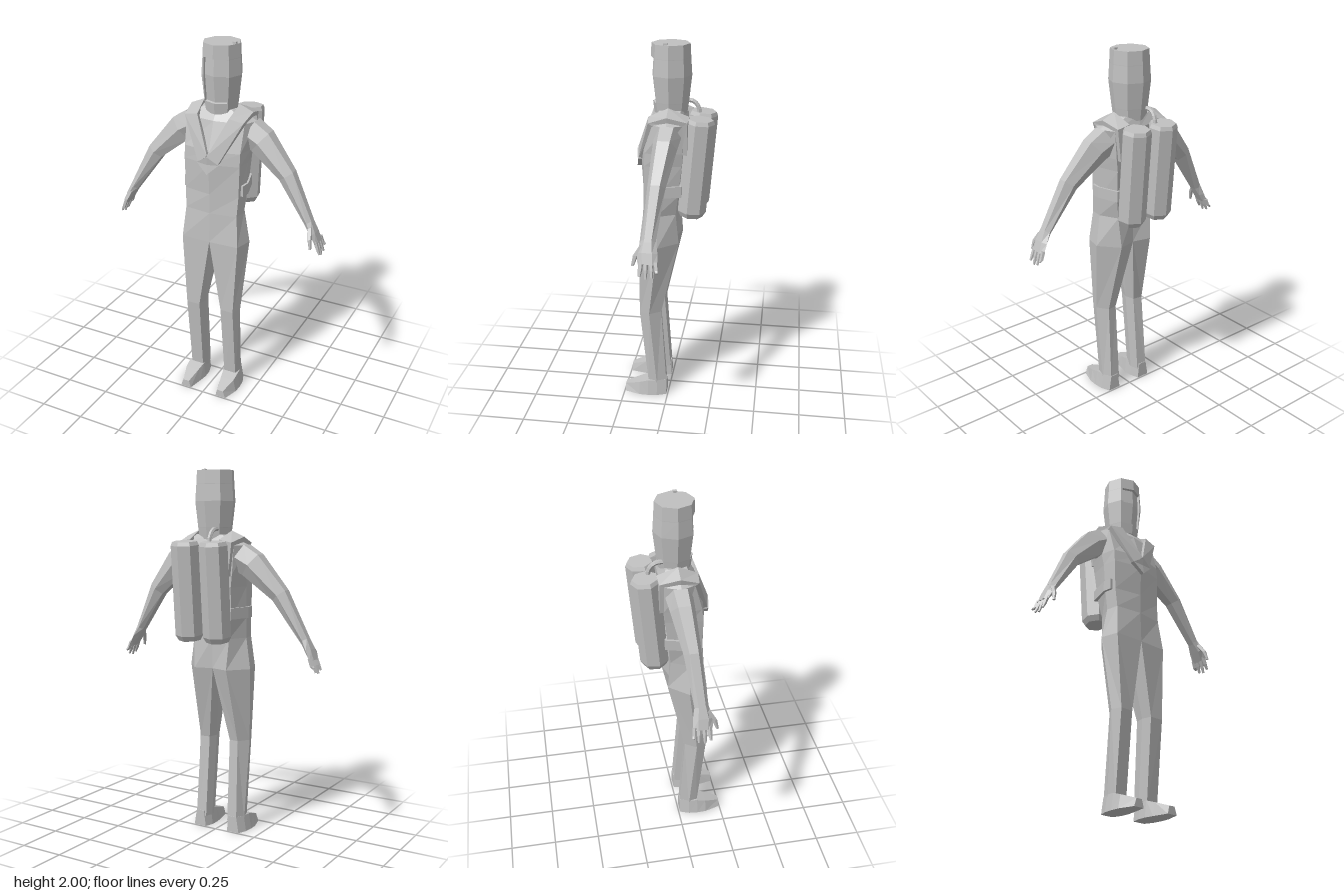
import * as THREE from 'three';

const grey = new THREE.MeshStandardMaterial({ color: 0xc0c0c0 });
grey.name = 'grey';

// Flat-faced solid through closed rings of [x, y, z] points, capped at both ends
function loft(rings) {
  const pos = [];
  const tri = (a, b, c) => pos.push(...a, ...b, ...c);
  const n = rings[0].length;
  for (let r = 0; r + 1 < rings.length; r++) {
    for (let i = 0; i < n; i++) {
      const j = (i + 1) % n, A = rings[r], B = rings[r + 1];
      tri(A[i], A[j], B[j]);
      tri(A[i], B[j], B[i]);
    }
  }
  const cap = (ring, flip) => {
    const c = [0, 1, 2].map((k) => ring.reduce((s, p) => s + p[k], 0) / n);
    ring.forEach((p, i) => {
      const q = ring[(i + 1) % n];
      if (flip) tri(c, q, p); else tri(c, p, q);
    });
  };
  cap(rings[0], true);
  cap(rings[rings.length - 1], false);
  // turn the corners round if the solid came out inside-out
  let volume = 0;
  const v = (i) => new THREE.Vector3().fromArray(pos, i);
  for (let i = 0; i < pos.length; i += 9) volume += v(i).dot(v(i + 3).cross(v(i + 6)));
  if (volume < 0) {
    for (let i = 0; i < pos.length; i += 9) {
      for (let k = 0; k < 3; k++) [pos[i + 3 + k], pos[i + 6 + k]] = [pos[i + 6 + k], pos[i + 3 + k]];
    }
  }
  const g = new THREE.BufferGeometry();
  g.setAttribute('position', new THREE.Float32BufferAttribute(pos, 3));
  g.computeVertexNormals();
  return g;
}

// Rings round a path of [x, y, z, radius in the xy plane, radius in z]
function limb(path, sides) {
  return loft(path.map(([x, y, z, rv, rz], i) => {
    const a = path[Math.max(i - 1, 0)], b = path[Math.min(i + 1, path.length - 1)];
    const len = Math.hypot(b[0] - a[0], b[1] - a[1]);
    const nx = -(b[1] - a[1]) / len, ny = (b[0] - a[0]) / len;
    return Array.from({ length: sides }, (_, k) => {
      const t = ((k + 0.5) / sides) * Math.PI * 2;
      return [x + nx * Math.cos(t) * rv, y + ny * Math.cos(t) * rv, z + Math.sin(t) * rz];
    });
  }));
}

// Full ring from its left half, running front to back
function mirrorRing(y, half) {
  const left = half.map(([x, z]) => [x, y, z]);
  const right = half.slice(1, -1).reverse().map(([x, z]) => [-x, y, z]);
  return [...left, ...right];
}

export function createModel() {
  const model = new THREE.Group();
  model.name = 'diver';
  const add = (name, geometry, parent = model) => {
    const mesh = new THREE.Mesh(geometry, grey);
    mesh.name = name;
    parent.add(mesh);
    return mesh;
  };

  // Torso
  add('torso', loft([
    mirrorRing(0.93, [[0, 0.155], [0.165, 0.15], [0.19, 0.05], [0.1, -0.055], [0, -0.03]]),
    mirrorRing(1.1, [[0, 0.15], [0.15, 0.13], [0.16, 0.06], [0.11, -0.04], [0, -0.03]]),
    mirrorRing(1.21, [[0, 0.15], [0.155, 0.12], [0.165, 0.05], [0.13, -0.055], [0, -0.04]]),
    mirrorRing(1.38, [[0, 0.16], [0.16, 0.12], [0.17, 0.04], [0.14, -0.075], [0, -0.07]]),
    mirrorRing(1.45, [[0, 0.153], [0.16, 0.115], [0.178, 0.03], [0.15, -0.08], [0, -0.08]]),
    mirrorRing(1.6, [[0, 0.1], [0.165, 0.075], [0.2, 0], [0.16, -0.08], [0, -0.09]]),
    mirrorRing(1.655, [[0, 0.06], [0.08, 0.05], [0.1, 0], [0.08, -0.06], [0, -0.07]]),
  ]));

  // Waist belt round the sides and back
  const belt = (y) => [[0.172, 0.1], [0.178, 0.05], [0.142, -0.075], [-0.142, -0.075], [-0.178, 0.05], [-0.172, 0.1],
    [-0.15, 0.1], [-0.15, 0.04], [-0.12, -0.04], [0.12, -0.04], [0.15, 0.04], [0.15, 0.1]].map(([x, z]) => [x, y, z]);
  add('waistBelt', loft([belt(1.21), belt(1.27)]));
  add('tankBracket', new THREE.BoxGeometry(0.2, 0.07, 0.05)).position.set(0, 1.24, -0.07);

  // Eight-sided helmet with a sunken window in its two front faces
  const helmetRing = (y, r, sink) => {
    const c = r * Math.SQRT1_2, slope = (r - c) / c;
    const rim = Math.min(0.064, c - 0.004), inner = rim - 0.003;
    return mirrorRing(y, [[0, r - sink], [inner, r - inner * slope - sink], [rim, r - rim * slope],
      [c, c], [r, 0], [c, -c], [0, -r]]);
  };
  add('helmet', loft([[1.63, 0.086, 0], [1.69, 0.094, 0], [1.693, 0.0945, 0.014], [1.83, 0.11, 0.014],
    [1.917, 0.104, 0.014], [1.92, 0.104, 0], [1.99, 0.1, 0]].map((s) => helmetRing(...s))));
  add('helmetValve', new THREE.BoxGeometry(0.018, 0.02, 0.018)).position.set(0.08, 1.99, 0.018);

  for (const s of [1, -1]) {
    const side = new THREE.Group();
    side.name = s > 0 ? 'leftSide' : 'rightSide';
    model.add(side);
    const flip = (ring) => ring.map(([x, y, z]) => [s * x, y, z]);
    const bone = (path, sides) => limb(path.map(([x, ...rest]) => [s * x, ...rest]), sides);

    // Leg: outer, front, inner and back corners at hip, knee and ankle
    const legRing = (y, pts) => flip(pts.map(([x, z]) => [x, y, z]));
    add('leg', loft([
      legRing(0.93, [[0.19, 0.05], [0.165, 0.15], [0, 0.155], [0, 0.05], [0, -0.03], [0.1, -0.055]]),
      legRing(0.52, [[0.162, 0.1], [0.142, 0.155], [0.066, 0.152], [0.052, 0.1], [0.066, 0.045], [0.12, 0.038]]),
      legRing(0.06, [[0.152, 0.06], [0.14, 0.108], [0.07, 0.108], [0.058, 0.06], [0.07, 0.012], [0.13, 0.008]]),
    ]), side);

    // Foot
    const footRing = (z, x0, x1, h) => flip([[x0, 0, z], [x1, 0, z], [x1 - 0.015, h, z], [x0 + 0.012, h, z]]);
    add('foot', loft([
      footRing(0.008, 0.07, 0.145, 0.09),
      footRing(0.06, 0.055, 0.165, 0.09),
      footRing(0.11, 0.053, 0.17, 0.088),
      footRing(0.16, 0.062, 0.168, 0.072),
      footRing(0.245, 0.08, 0.142, 0.042),
    ]), side);

    // Arm and palm
    add('arm', bone([
      [0.16, 1.54, -0.005, 0.085, 0.07],
      [0.23, 1.5, 0, 0.082, 0.064],
      [0.385, 1.345, 0.02, 0.052, 0.046],
      [0.525, 1.11, 0.04, 0.025, 0.036],
    ], 6), side);
    add('palm', bone([
      [0.52, 1.12, 0.04, 0.025, 0.036],
      [0.55, 1.065, 0.042, 0.02, 0.052],
      [0.575, 1.015, 0.036, 0.013, 0.05],
    ], 6), side);

    // Fingers and thumb
    [[-0.004, -0.012, 0.98], [0.02, 0.014, 0.955], [0.046, 0.045, 0.947], [0.07, 0.075, 0.96]].forEach(([z0, z1, tip]) => {
      add('finger', bone([
        [0.57, 1.03, z0, 0.011, 0.013],
        [0.585, 0.99, (z0 + z1) / 2, 0.01, 0.012],
        [0.598, tip, z1, 0.006, 0.007],
      ], 5), side);
    });
    add('thumb', bone([
      [0.535, 1.1, 0.065, 0.014, 0.018],
      [0.55, 1.05, 0.1, 0.012, 0.014],
      [0.56, 1.0, 0.114, 0.007, 0.008],
    ], 5), side);

    // Shoulder strap: outer and inner edge, from the back over to the chest
    const strap = [
      [[0.14, 1.44, -0.09], [0.07, 1.44, -0.09], [0, 0, -1]],
      [[0.16, 1.61, -0.095], [0.09, 1.625, -0.1], [0, 0.5, -0.8]],
      [[0.175, 1.632, 0], [0.1, 1.664, 0], [0.2, 1, 0]],
      [[0.168, 1.605, 0.086], [0.09, 1.62, 0.095], [0, 0.5, 0.8]],
      [[0.055, 1.385, 0.155], [0, 1.435, 0.163], [0, 0.1, 1]],
    ];
    add('shoulderStrap', loft(strap.map(([a, b, n]) => {
      const off = (p, d) => p.map((v, k) => v + n[k] * d);
      return flip([off(a, 0.012), off(b, 0.012), off(b, -0.02), off(a, -0.02)]);
    })), side);

    // Seven-sided air tank, leaning back
    const tank = add('airTank', new THREE.LatheGeometry([[0, -0.265], [0.06, -0.265], [0.077, -0.235],
      [0.077, 0.245], [0.068, 0.265], [0, 0.265]].map(([x, y]) => new THREE.Vector2(x, y)), 7, Math.PI).toNonIndexed(), side);
    tank.geometry.computeVertexNormals();
    tank.position.set(s * 0.087, 1.357, -0.142);
    tank.rotation.x = -0.085;
  }

  // Chest buckle
  const buckle = (z) => [[0, 1.43, z], [0.063, 1.39, z - 0.012], [0, 1.332, z], [-0.063, 1.39, z - 0.012]];
  add('chestBuckle', loft([buckle(0.15), buckle(0.18)]));

  // Air hose from the tanks to the helmet
  const hose = new THREE.CatmullRomCurve3([[-0.05, 1.6, -0.145], [-0.052, 1.65, -0.138],
    [-0.053, 1.68, -0.11], [-0.05, 1.685, -0.05]].map((p) => new THREE.Vector3(...p)));
  const hoseGeometry = new THREE.TubeGeometry(hose, 8, 0.012, 6).toNonIndexed();
  hoseGeometry.computeVertexNormals();
  add('airHose', hoseGeometry);

  return model;
}
